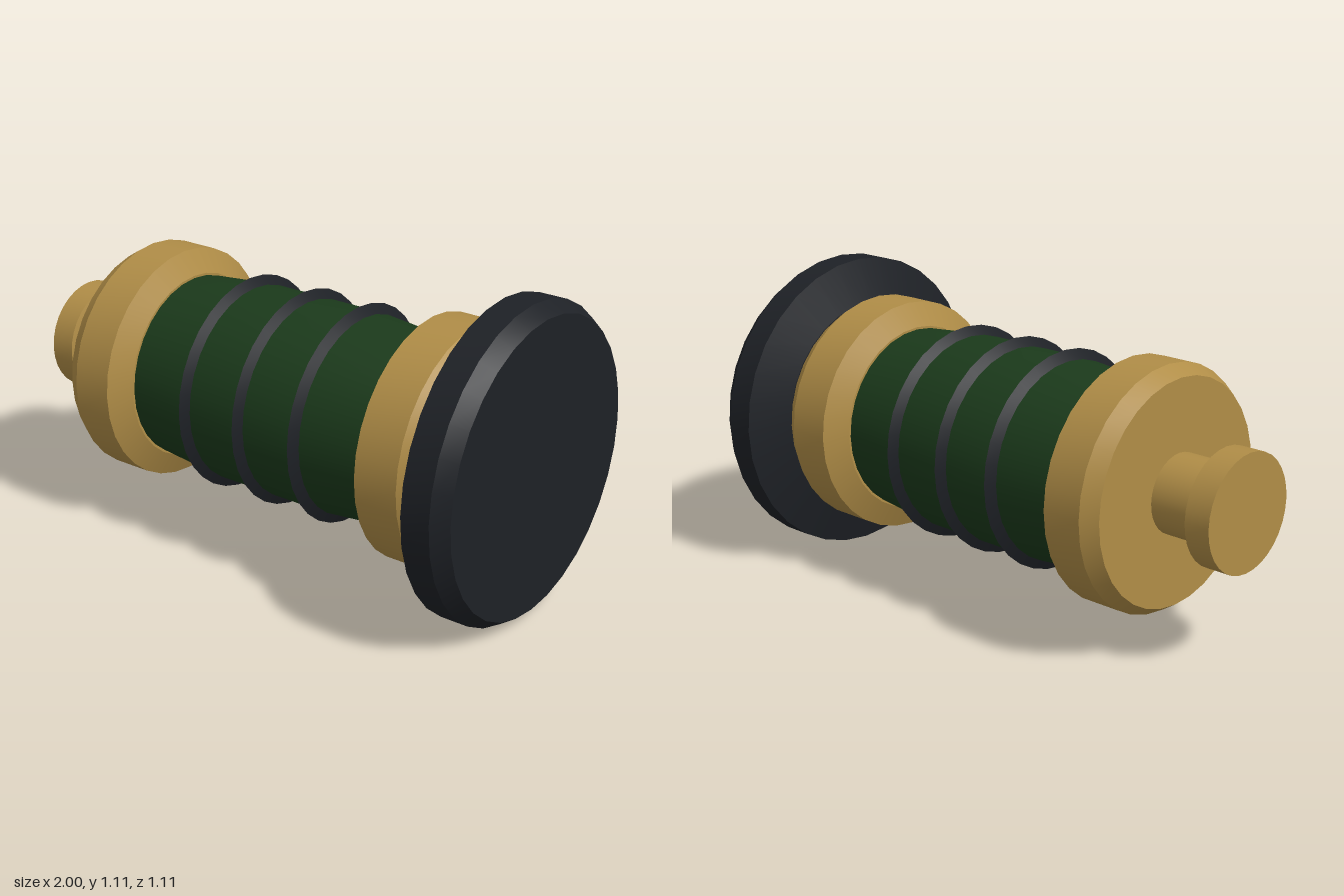
import * as THREE from 'three';
import { toCreasedNormals } from 'three/addons/utils/BufferGeometryUtils.js';

const brass = new THREE.MeshStandardMaterial({ color: 0xb08d47 });
const green = new THREE.MeshStandardMaterial({ color: 0x1b3a1b });
const black = new THREE.MeshStandardMaterial({ color: 0x1e2126 });

// Turned part: profile points are [x along the axis, radius], running towards +x
function turned(name, profile, material) {
  const points = profile.map(([x, r]) => new THREE.Vector2(r, x));
  const geometry = toCreasedNormals(new THREE.LatheGeometry(points, 32), 0.32);
  geometry.rotateZ(-Math.PI / 2);
  const mesh = new THREE.Mesh(geometry, material);
  mesh.name = name;
  return mesh;
}

export function createModel() {
  const group = new THREE.Group();
  group.name = 'cylinderHandle';

  const axis = new THREE.Group();
  axis.name = 'turnedParts';
  axis.position.y = 0.555;
  group.add(axis);

  // Small knob and its stem at the narrow end
  axis.add(turned('knob', [[-1, 0], [-1, 0.205], [-0.905, 0.205], [-0.888, 0.15], [-0.888, 0]], brass));
  axis.add(turned('stem', [[-0.9, 0], [-0.9, 0.14], [-0.7, 0.14], [-0.7, 0]], brass));

  // Bevelled collars either side of the body
  axis.add(turned('knobCollar',
    [[-0.715, 0], [-0.715, 0.395], [-0.66, 0.43], [-0.51, 0.43], [-0.465, 0.345], [-0.465, 0]], brass));
  axis.add(turned('discCollar',
    [[0.528, 0], [0.528, 0.345], [0.572, 0.43], [0.735, 0.43], [0.79, 0.395], [0.79, 0]], brass));

  // Body, slightly tapered at both ends
  axis.add(turned('body',
    [[-0.47, 0], [-0.47, 0.336], [-0.205, 0.36], [0.27, 0.36], [0.535, 0.336], [0.535, 0]], green));

  // Sharp ridged bands around the body
  for (const x of [-0.205, 0.032, 0.27]) {
    const band = turned('band', [[-0.024, 0.355], [0, 0.393], [0.024, 0.355]], black);
    band.position.x = x;
    axis.add(band);
  }

  // Wide end disc
  axis.add(turned('endDisc',
    [[0.788, 0], [0.788, 0.4], [0.84, 0.555], [0.945, 0.555], [1, 0.518], [1, 0]], black));

  return group;
}
